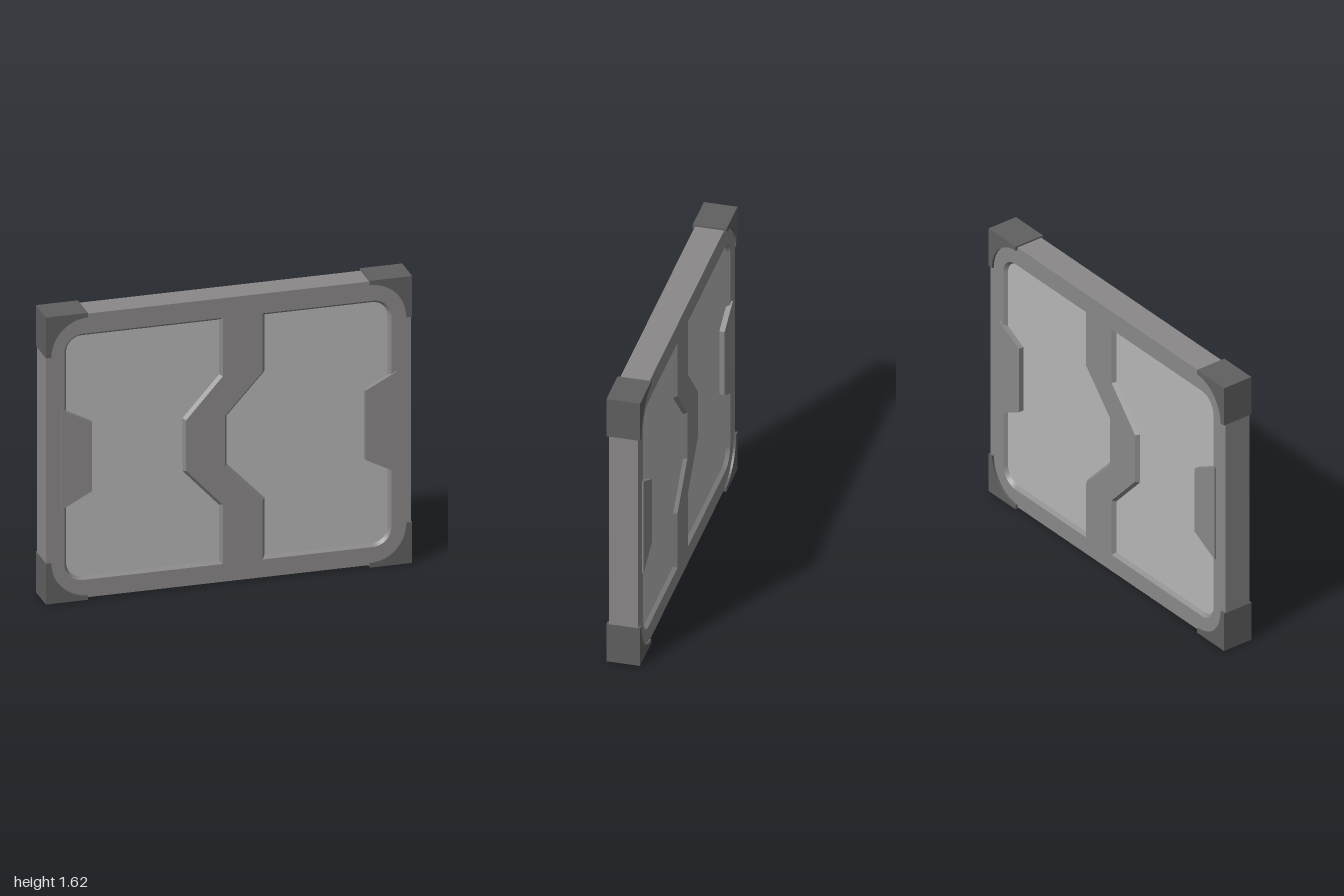
import * as THREE from 'three';

const FACE = 0.079;   // half thickness of the frame
const PANE = 0.059;   // half thickness of the recessed panes
const LIP = 0.015;    // width of the sloped lip round each pane
const BOTTOM = 0.11, TOP = 1.5, MID = 0.81;

const shapeOf = (pts) => new THREE.Shape(pts.map(([x, y]) => new THREE.Vector2(x, y)));

// Flat slab centred on z = 0
function slab(shape, half) {
  const geo = new THREE.ExtrudeGeometry(shape, { depth: half * 2, bevelEnabled: false, curveSegments: 10 });
  return geo.translate(0, 0, -half);
}

// Counter-clockwise outline of a pane: zigzag edge on one side, rounded corners on the other
function paneOutline(zigzag, side, edge) {
  const r = 0.1, h = Math.PI / 2, s = new THREE.Shape();
  const cx = edge - side * r;
  if (side < 0) {
    s.moveTo(...zigzag[0]);
    zigzag.slice(1).forEach((p) => s.lineTo(...p));
    s.absarc(cx, TOP - r, r, h, 2 * h, false);
    s.absarc(cx, BOTTOM + r, r, 2 * h, 3 * h, false);
  } else {
    const down = [...zigzag].reverse();
    s.moveTo(...down[0]);
    down.slice(1).forEach((p) => s.lineTo(...p));
    s.absarc(cx, BOTTOM + r, r, -h, 0, false);
    s.absarc(cx, TOP - r, r, 0, h, false);
  }
  return s.getPoints(8);
}

// Move every edge of a counter-clockwise outline inward by d
function inset(pts, d) {
  const n = pts.length;
  return pts.map((p, i) => {
    const a = p.clone().sub(pts[(i + n - 1) % n]).normalize();
    const b = pts[(i + 1) % n].clone().sub(p).normalize();
    const na = new THREE.Vector2(-a.y, a.x), nb = new THREE.Vector2(-b.y, b.x);
    return p.clone().addScaledVector(na.clone().add(nb), d / (1 + na.dot(nb)));
  });
}

// Sloped strip from the frame face down to the pane, on front and back
function lipGeometry(outer) {
  const inner = inset(outer, LIP), n = outer.length, pos = [];
  for (const s of [1, -1]) {
    for (let i = 0; i < n; i++) {
      const j = (i + 1) % n;
      const a = [outer[i].x, outer[i].y, s * FACE], b = [outer[j].x, outer[j].y, s * FACE];
      const c = [inner[j].x, inner[j].y, s * PANE], d = [inner[i].x, inner[i].y, s * PANE];
      pos.push(...(s > 0 ? [a, b, c, a, c, d] : [a, c, b, a, d, c]).flat());
    }
  }
  const geo = new THREE.BufferGeometry();
  geo.setAttribute('position', new THREE.Float32BufferAttribute(pos, 3));
  geo.computeVertexNormals();
  return geo;
}

export function createModel() {
  const model = new THREE.Group();
  model.name = 'framedPanel';
  const material = (name, color) => {
    const m = new THREE.MeshStandardMaterial({ color });
    m.name = name;
    return m;
  };
  const frameGrey = material('frameGrey', 0x8a8888);
  const paneGrey = material('paneGrey', 0xb6b6b6);
  const cornerGrey = material('cornerGrey', 0x606060);
  const add = (name, geo, mat) => {
    const mesh = new THREE.Mesh(geo, mat);
    mesh.name = name;
    model.add(mesh);
    return mesh;
  };

  // Zigzag edges of the central bar, from bottom to top
  const zig = (xOuter, xInner) => [
    [xOuter, BOTTOM], [xOuter, 0.445], [xInner, 0.66],
    [xInner, 0.945], [xOuter, 1.17], [xOuter, TOP],
  ];
  const panes = [
    ['rightPane', paneOutline(zig(-0.03, -0.23), -1, -0.895)],
    ['leftPane', paneOutline(zig(0.187, -0.018), 1, 0.89)],
  ];

  // Frame and central bar in one plate with two openings
  const plate = shapeOf([[-0.997, 0.01], [0.997, 0.01], [0.997, 1.611], [-0.997, 1.611]]);
  panes.forEach(([, pts]) => plate.holes.push(new THREE.Path(pts)));
  add('frame', slab(plate, FACE), frameGrey);

  // Recessed panes with sloped lips
  for (const [name, pts] of panes) {
    add(name, slab(new THREE.Shape(pts), PANE), paneGrey);
    add(name + 'Lip', lipGeometry(pts), frameGrey);
  }

  // Trapezoid grips on both sides, standing slightly proud of the frame
  for (const s of [1, -1]) {
    const grip = shapeOf([[s * 0.915, 0.522], [s * 0.915, 1.088], [s * 0.746, 1.0], [s * 0.746, 0.61]]);
    add(s > 0 ? 'leftGrip' : 'rightGrip', slab(grip, 0.088), frameGrey);
  }

  // Corner guards with a concave inner curve
  for (const sx of [1, -1]) {
    for (const sy of [1, -1]) {
      const pts = [[1, 0.58], [1, 0.81], [0.77, 0.81], [0.77, 0.785]];
      for (let i = 1; i <= 12; i++) {
        const a = (Math.PI / 2) * (1 - i / 12);
        pts.push([0.77 + 0.2 * Math.cos(a), 0.58 + 0.205 * Math.sin(a)]);
      }
      const guard = shapeOf(pts.map(([x, y]) => [sx * x, MID + sy * y]));
      add((sy > 0 ? 'top' : 'bottom') + (sx > 0 ? 'Left' : 'Right') + 'Guard', slab(guard, 0.091), cornerGrey);
    }
  }
  return model;
}
